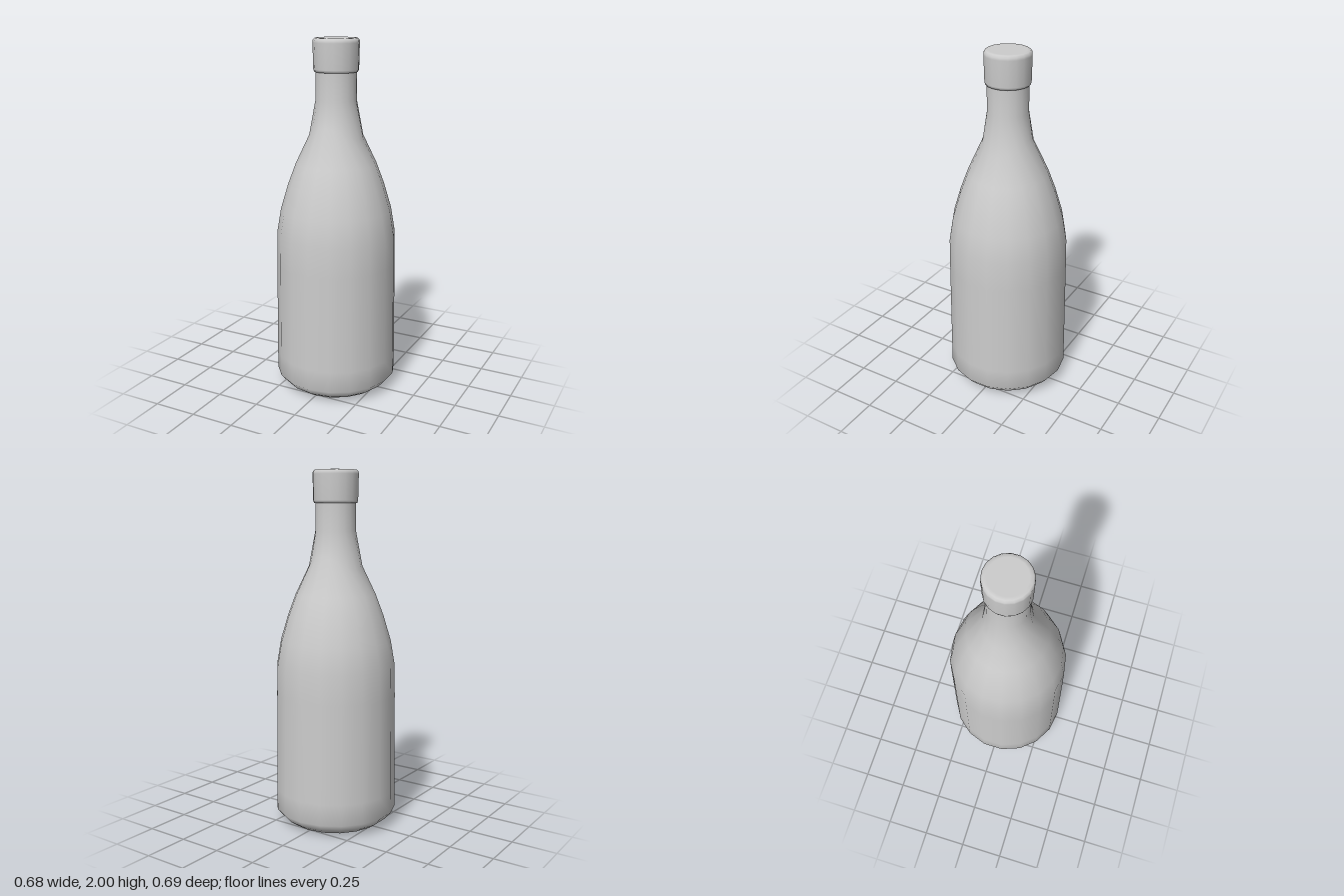
import * as THREE from 'three';

const SIDES = 18;

// Smooth surface of revolution from [radius, height] pairs, listed bottom to top
function lathe(name, profile, material) {
  const points = profile.map(([r, y]) => new THREE.Vector2(r, y));
  const mesh = new THREE.Mesh(new THREE.LatheGeometry(points, SIDES), material);
  mesh.name = name;
  return mesh;
}

export function createModel() {
  const group = new THREE.Group();
  group.name = 'bottle';
  const grey = new THREE.MeshStandardMaterial({ color: 0xcccccc });
  grey.name = 'plain grey';

  // Base, straight wall, curved shoulder and neck
  const profile = [
    [0, 0], [0.24, 0], [0.27, 0.008], [0.308, 0.035], [0.347, 0.08],
    [0.346, 0.2], [0.339, 0.75], [0.336, 0.92], [0.312, 1.06], [0.27, 1.2],
    [0.225, 1.32], [0.143, 1.495], [0.113, 1.67], [0.112, 1.84],
  ];
  const body = lathe('bottleBody', profile, grey);

  // The ring where the shoulder meets the neck sits higher at front and back
  const ring = 11;
  const pos = body.geometry.attributes.position;
  for (let i = 0; i <= SIDES; i++) {
    const phi = (i / SIDES) * Math.PI * 2;
    const wave = Math.cos(2 * phi);
    const r = 0.143 - 0.013 * wave;
    pos.setXYZ(i * profile.length + ring, r * Math.sin(phi), 1.495 + 0.035 * wave, r * Math.cos(phi));
  }
  group.add(body);

  // Cap with softened edges, closed on top
  group.add(lathe('cap', [
    [0.1, 1.82], [0.119, 1.821], [0.124, 1.835], [0.127, 1.975],
    [0.126, 1.988], [0.117, 1.999], [0.1, 2], [0, 2],
  ], grey));

  return group;
}
